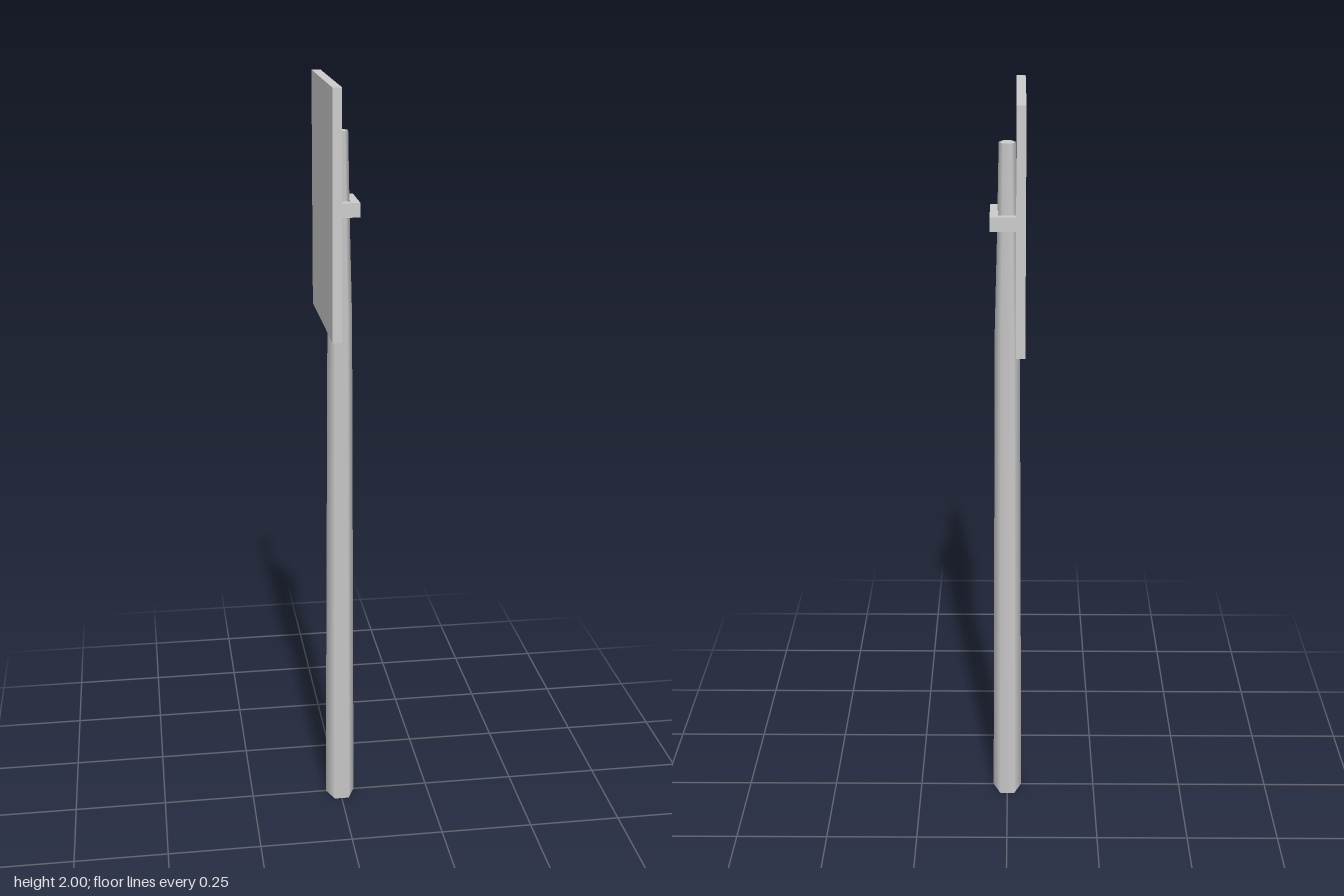
import * as THREE from 'three';

const material = new THREE.MeshStandardMaterial({ color: 0xcccccc });

// Box given by its min and max corners
function block(name, [x0, y0, z0], [x1, y1, z1]) {
  const mesh = new THREE.Mesh(new THREE.BoxGeometry(x1 - x0, y1 - y0, z1 - z0), material);
  mesh.position.set((x0 + x1) / 2, (y0 + y1) / 2, (z0 + z1) / 2);
  mesh.name = name;
  return mesh;
}

// Six-sided pole, tapering in steps: rows of [height, half width in x, half depth in z]
function createPole() {
  const rows = [[0, 0.04, 0.045], [0.4, 0.038, 0.036], [1.4, 0.032, 0.028], [1.67, 0.025, 0.023], [1.875, 0.021, 0.019]];
  const last = rows.length - 1;
  const geometry = new THREE.CylinderGeometry(1, 1, last, 6, last, false, Math.PI / 6);
  const p = geometry.attributes.position;
  for (let i = 0; i < p.count; i++) {
    const [y, halfX, halfZ] = rows[Math.round(p.getY(i) + last / 2)];
    p.setXYZ(i, p.getX(i) * halfX, y, p.getZ(i) * halfZ / Math.cos(Math.PI / 6));
  }
  const pole = new THREE.Mesh(geometry, material);
  pole.name = 'pole';
  return pole;
}

// U-shaped clamp that holds the pole against the board
function createBracket() {
  const s = new THREE.Shape();
  const outline = [[-0.022, -0.063], [0.043, -0.063], [0.043, 0.069], [-0.022, 0.069],
    [-0.022, 0.047], [0.022, 0.047], [0.022, -0.041], [-0.022, -0.041]];
  s.setFromPoints(outline.map(([x, y]) => new THREE.Vector2(x, y)));
  const geometry = new THREE.ExtrudeGeometry(s, { depth: 0.036, bevelEnabled: false });
  geometry.rotateX(-Math.PI / 2);
  const bracket = new THREE.Mesh(geometry, material);
  bracket.position.y = 1.67;
  bracket.name = 'bracket';
  return bracket;
}

export function createModel() {
  const model = new THREE.Group();
  model.name = 'signpost';
  model.add(
    createPole(),
    createBracket(),
    block('signBoard', [-0.045, 1.39, -0.201], [-0.022, 2, 0.2])
  );
  return model;
}
